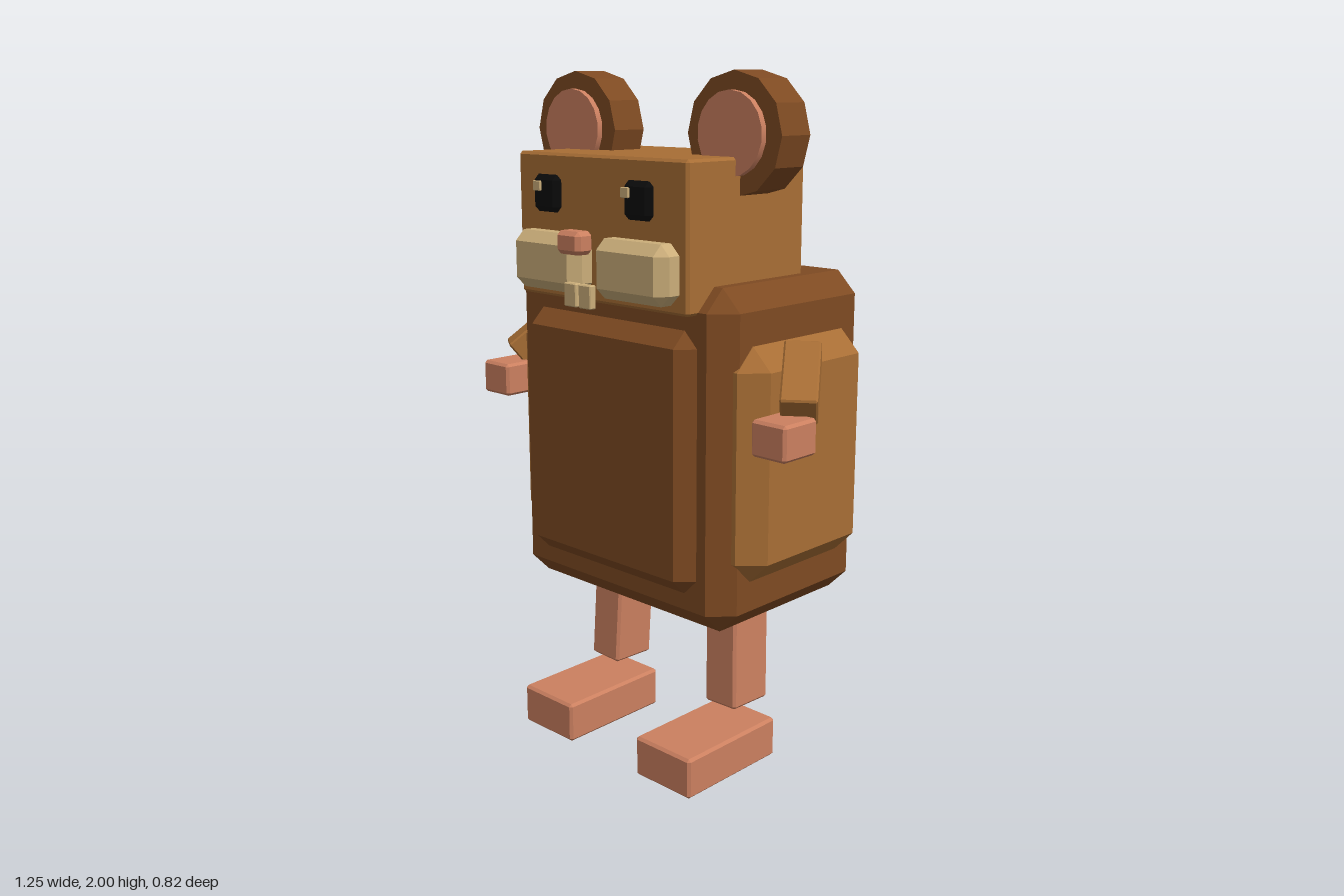
import * as THREE from 'three';
import { ConvexGeometry } from 'three/addons/geometries/ConvexGeometry.js';

const material = (name, color) => {
  const m = new THREE.MeshStandardMaterial({ color });
  m.name = name;
  return m;
};

// Box with every edge cut at 45 degrees by c
function chamferBox(w, h, d, c) {
  const points = [];
  for (const i of [-1, 1]) for (const j of [-1, 1]) for (const k of [-1, 1]) {
    const x = w / 2, y = h / 2, z = d / 2;
    points.push(
      new THREE.Vector3(i * x, j * (y - c), k * (z - c)),
      new THREE.Vector3(i * (x - c), j * y, k * (z - c)),
      new THREE.Vector3(i * (x - c), j * (y - c), k * z));
  }
  return new ConvexGeometry(points);
}

export function createModel() {
  const group = new THREE.Group();
  const darkFur = material('dark fur', 0x7e4a22);
  const lightFur = material('light fur', 0xa86e35);
  const skin = material('pink skin', 0xcb8060);
  const cream = material('cream', 0xcbae7a);
  const black = material('black', 0x0b0b0b);

  const add = (name, geometry, mat, x, y, z) => {
    const mesh = new THREE.Mesh(geometry, mat);
    mesh.name = name;
    mesh.position.set(x, y, z);
    group.add(mesh);
    return mesh;
  };
  // Chamfered box given by its extents on each axis
  const box = (name, mat, [x0, x1], [y0, y1], [z0, z1], c = 0.008) =>
    add(name, chamferBox(x1 - x0, y1 - y0, z1 - z0, c), mat,
      (x0 + x1) / 2, (y0 + y1) / 2, (z0 + z1) / 2);
  const span = (s, a, b) => (s > 0 ? [a, b] : [-b, -a]);

  // Body with raised belly, back and flank panels
  box('body', darkFur, [-0.425, 0.425], [0.48, 1.445], [-0.37, 0.25], 0.062);
  box('bellyAndBackPanel', darkFur, [-0.33, 0.33], [0.59, 1.33], [-0.412, 0.295], 0.045);
  box('flankPanels', lightFur, [-0.49, 0.49], [0.63, 1.29], [-0.31, 0.2], 0.063);

  // Head and nose
  box('head', lightFur, [-0.333, 0.333], [1.375, 1.778], [-0.182, 0.29]);
  box('nose', skin, [-0.046, 0.046], [1.52, 1.583], [0.35, 0.41], 0.012);

  for (const s of [-1, 1]) {
    const side = s > 0 ? 'left' : 'right';

    // Round ears with pink inner discs
    const ear = new THREE.CylinderGeometry(0.165, 0.165, 0.115, 12).toNonIndexed();
    ear.rotateX(Math.PI / 2);
    ear.computeVertexNormals();
    add(side + 'Ear', ear, darkFur, s * 0.308, 1.835, 0.032);
    const inner = new THREE.CylinderGeometry(0.113, 0.113, 0.03, 18);
    inner.rotateX(Math.PI / 2);
    add(side + 'InnerEar', inner, skin, s * 0.308, 1.837, 0.093);

    // Eyes, with the glint on the same side of both
    box(side + 'Eye', black, span(s, 0.128, 0.232), [1.617, 1.72], [0.297, 0.33], 0.015);
    const glint = s > 0 ? 0.148 : -0.202;
    box(side + 'EyeGlint', cream, [glint - 0.015, glint + 0.015], [1.675, 1.703], [0.33, 0.338], 0.002);

    // Cheeks and front teeth
    box(side + 'Cheek', cream, span(s, 0.03, 0.303), [1.4, 1.563], [0.24, 0.357], 0.03);
    box(side + 'Tooth', cream, span(s, 0.005, 0.053), [1.373, 1.438], [0.352, 0.375], 0.003);

    // Arms reach outward, down and forward
    const from = new THREE.Vector3(s * 0.475, 1.262, -0.015);
    const to = new THREE.Vector3(s * 0.57, 1.13, 0.118);
    const middle = from.clone().add(to).multiplyScalar(0.5);
    const arm = add(side + 'Arm', chamferBox(0.1, 0.1, from.distanceTo(to), 0.005),
      lightFur, middle.x, middle.y, middle.z);
    arm.lookAt(to);
    box(side + 'Hand', skin, span(s, 0.495, 0.612), [1.02, 1.12], [0.09, 0.224]);

    // Slightly splayed legs above separate feet
    const leg = add(side + 'Leg', chamferBox(0.118, 0.34, 0.15, 0.008), skin, s * 0.243, 0.338, -0.022);
    leg.rotation.set(-0.035, 0, s * 0.035);
    box(side + 'Foot', skin, span(s, 0.14, 0.355), [0, 0.122], [-0.072, 0.303]);
  }
  return group;
}
